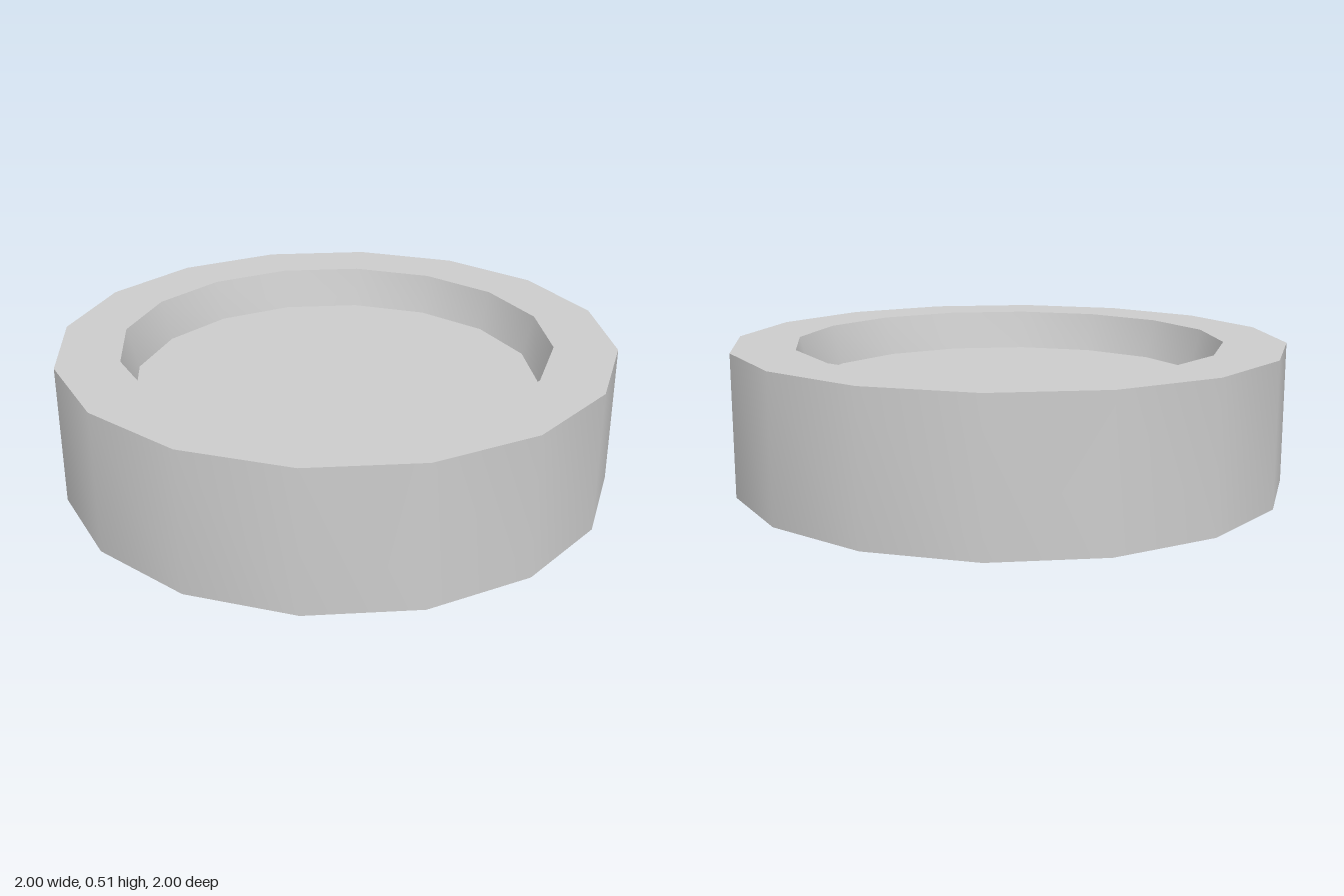
import * as THREE from 'three';
import { toCreasedNormals } from 'three/addons/utils/BufferGeometryUtils.js';

const SIDES = 16;
const HEIGHT = 0.51;
const OUTER = 1;
const RIM = 0.775; // recess radius at the opening
const FLOOR = 0.735; // recess radius at its floor
const DEPTH = 0.147; // recess depth, same above and below

export function createModel() {
  const group = new THREE.Group();
  group.name = 'recessedDisc';

  // Half profile, from the centre of the underside round to the centre of the top
  const profile = [
    [0, DEPTH],
    [FLOOR, DEPTH],
    [RIM, 0],
    [OUTER, 0],
    [OUTER, HEIGHT],
    [RIM, HEIGHT],
    [FLOOR, HEIGHT - DEPTH],
    [0, HEIGHT - DEPTH],
  ].map(([r, y]) => new THREE.Vector2(r, y));

  // Round walls are smooth, rims and recess edges stay sharp
  const geometry = toCreasedNormals(new THREE.LatheGeometry(profile, SIDES), Math.PI / 6);
  const disc = new THREE.Mesh(geometry, new THREE.MeshStandardMaterial({ color: 0xcccccc }));
  disc.name = 'disc';
  group.add(disc);

  return group;
}
